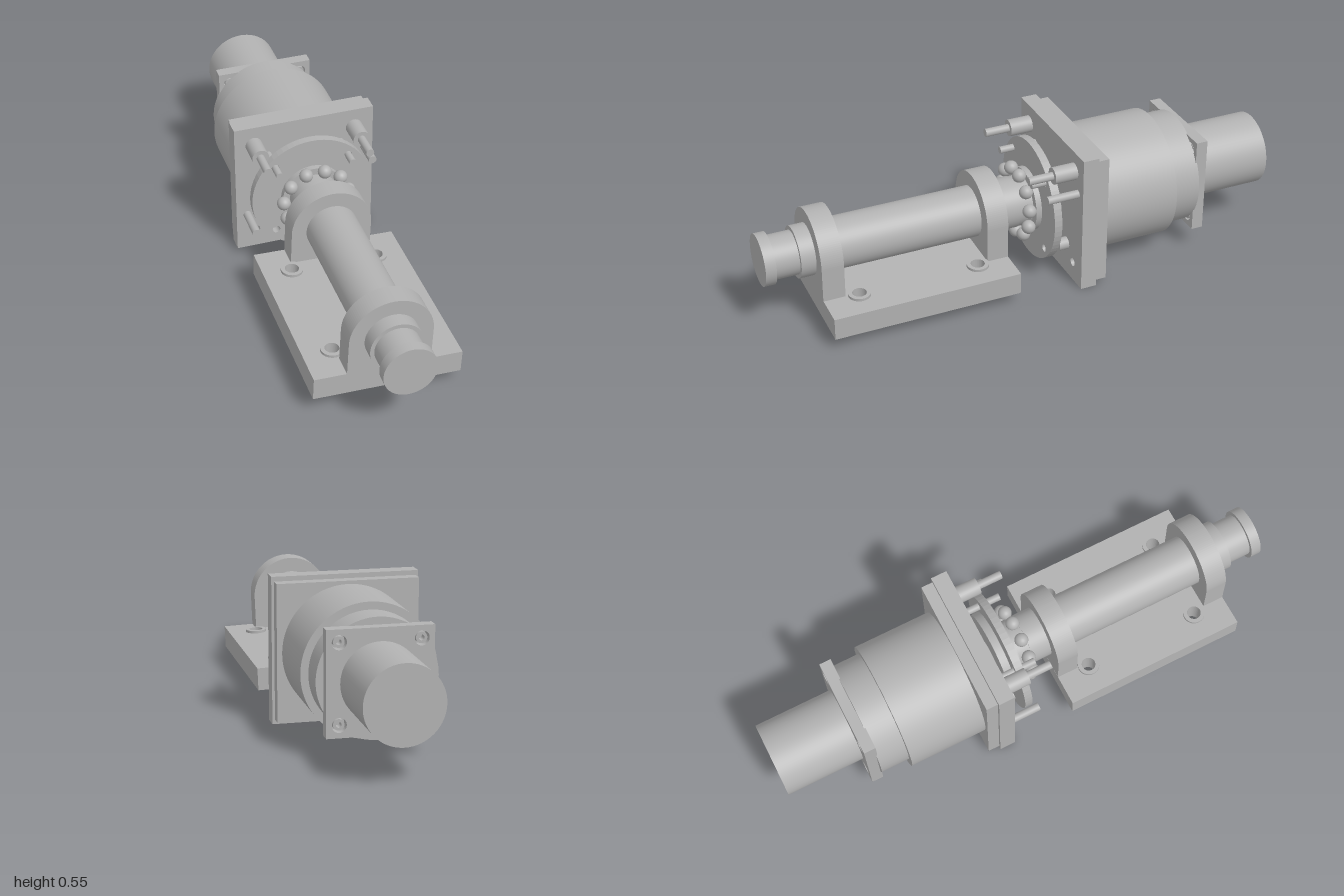
import * as THREE from 'three';

const steel = new THREE.MeshStandardMaterial({ color: 0xb2b2b2 });
steel.name = 'grey steel';

function add(parent, name, geometry) {
  const mesh = new THREE.Mesh(geometry, steel);
  mesh.name = name;
  parent.add(mesh);
  return mesh;
}

// Cylinder along z between two depths
function rod(parent, name, r, z0, z1, x = 0, y = 0, sides = 64) {
  const g = new THREE.CylinderGeometry(r, r, z1 - z0, sides).rotateX(Math.PI / 2);
  return add(parent, name, g.translate(x, y, (z0 + z1) / 2));
}

function circle(r, x = 0, y = 0) {
  return new THREE.Path().absarc(x, y, r, 0, Math.PI * 2, true);
}

function disc(r) {
  return new THREE.Shape().absarc(0, 0, r, 0, Math.PI * 2, false);
}

function rect(w, h, cx = 0, cy = 0) {
  const s = new THREE.Shape();
  s.moveTo(cx - w / 2, cy - h / 2);
  s.lineTo(cx + w / 2, cy - h / 2);
  s.lineTo(cx + w / 2, cy + h / 2);
  s.lineTo(cx - w / 2, cy + h / 2);
  s.closePath();
  return s;
}

function extrude(shape, depth) {
  return new THREE.ExtrudeGeometry(shape, { depth, bevelEnabled: false, curveSegments: 32 });
}

function plate(parent, name, shape, z0, z1, holes = []) {
  shape.holes.push(...holes);
  return add(parent, name, extrude(shape, z1 - z0).translate(0, 0, z0));
}

// Tilted pillow block: base, washers and two arched supports
function bearingStand() {
  const stand = new THREE.Group();
  stand.name = 'bearingStand';
  stand.rotation.z = -0.0385;
  const zc = 0.457, top = -0.131, bottom = -0.217, split = -0.17;
  const bolts = [[-0.163, 0.225], [0.163, 0.225], [-0.163, 0.683], [0.163, 0.683]];
  const dowels = [[0.18, zc + 0.038], [-0.18, zc - 0.038]];
  const holes = (list, r) => list.map(([x, z]) => circle(r, x, -z));
  const slab = (name, y0, y1, cut) => {
    const s = rect(0.543, 0.715, 0, -zc);
    s.holes.push(...cut);
    add(stand, name, extrude(s, y1 - y0).rotateX(-Math.PI / 2).translate(0, y0, 0));
  };
  slab('baseLower', bottom, split, [...holes(bolts, 0.026), ...holes(dowels, 0.015)]);
  slab('baseUpper', split, top, holes(bolts, 0.026));

  for (const [x, z] of bolts) {
    const ring = disc(0.041);
    ring.holes.push(circle(0.026));
    add(stand, 'washer', extrude(ring, 0.01).rotateX(-Math.PI / 2).translate(x, top, z));
  }
  for (const [z0, z1] of [[0.1, 0.182], [0.732, 0.815]]) {
    const arch = new THREE.Shape();
    arch.moveTo(-0.153, top);
    arch.lineTo(0.153, top);
    arch.lineTo(0.153, 0);
    arch.absarc(0, 0, 0.153, 0, Math.PI, false);
    arch.closePath();
    plate(stand, 'bearingSupport', arch, z0, z1, [circle(0.096)]);
  }
  return stand;
}

export function createModel() {
  const root = new THREE.Group();
  root.name = 'spindleDrive';
  // Everything is arranged around the common shaft axis
  const axis = new THREE.Group();
  axis.name = 'shaftAssembly';
  axis.position.set(0.003, 0.2725, 0);
  root.add(axis);
  axis.add(bearingStand());

  // Shaft with stepped nose
  rod(axis, 'shaftNose', 0.097, 0.96, 1);
  rod(axis, 'shaftNeck', 0.082, 0.87, 0.96);
  rod(axis, 'shaft', 0.097, 0.025, 0.87);
  rod(axis, 'shaftInner', 0.095, -0.03, 0.025);
  rod(axis, 'driveStub', 0.065, -0.145, -0.1);

  // Ring of bearing balls
  const balls = new THREE.Group();
  balls.name = 'bearingBalls';
  for (let i = 0; i < 11; i++) {
    const a = (10 * Math.PI) / 180 + (i * Math.PI * 2) / 11;
    const g = new THREE.SphereGeometry(0.026, 24, 16);
    add(balls, 'ball', g.translate(0.128 * Math.cos(a), 0.128 * Math.sin(a), 0.003));
  }
  axis.add(balls);

  // Coupling disc, its hub and race
  const d = 0.142, c = 0.1965;
  const square = (o) => [[-o, o], [o, o], [-o, -o], [o, -o]];
  rod(axis, 'bearingRace', 0.122, -0.05, -0.028);
  plate(axis, 'couplingDisc', disc(0.234), -0.08, -0.05,
    square(d).map(([x, y]) => circle(0.015, x, y)));
  rod(axis, 'couplingHub', 0.165, -0.11, -0.08);

  // Flange plates with corner holes
  const corners = () => square(c).map(([x, y]) => circle(0.017, x, y));
  plate(axis, 'flangePlate', rect(0.543, 0.545), -0.205, -0.143, corners());
  plate(axis, 'flangeBackPlate', rect(0.524, 0.51), -0.25, -0.205);

  // Pins, bosses and screws on the flange
  for (const s of [-1, 1]) {
    rod(axis, 'guideBoss', 0.032, -0.143, -0.055, s * c, c, 32);
    rod(axis, 'guidePin', 0.0155, -0.055, 0.04, s * c, c, 24);
    rod(axis, 'couplingPin', 0.0135, -0.143, 0.005, s * d, d, 24);
    rod(axis, 'lowerScrew', 0.024, -0.143, -0.105, s * d, -d, 24);
    rod(axis, 'locatingPin', 0.0155, -0.143, -0.02, s * 0.229, s * 0.118, 24);
  }

  // Gear housing
  rod(axis, 'housing', 0.243, -0.55, -0.25, 0, 0, 96);
  rod(axis, 'housingStep', 0.215, -0.66, -0.55, 0, 0, 96);

  // Motor with square mounting plate and recessed screws
  plate(axis, 'motorPlate', rect(0.376, 0.376), -0.7, -0.655,
    square(0.143).map(([x, y]) => circle(0.026, x, y)));
  for (const [x, y] of square(0.143)) {
    const socket = disc(0.02);
    socket.holes.push(circle(0.01));
    add(axis, 'motorScrew', extrude(socket, 0.035).translate(x, y, -0.692));
  }
  rod(axis, 'motor', 0.14, -1, -0.69);
  return root;
}
